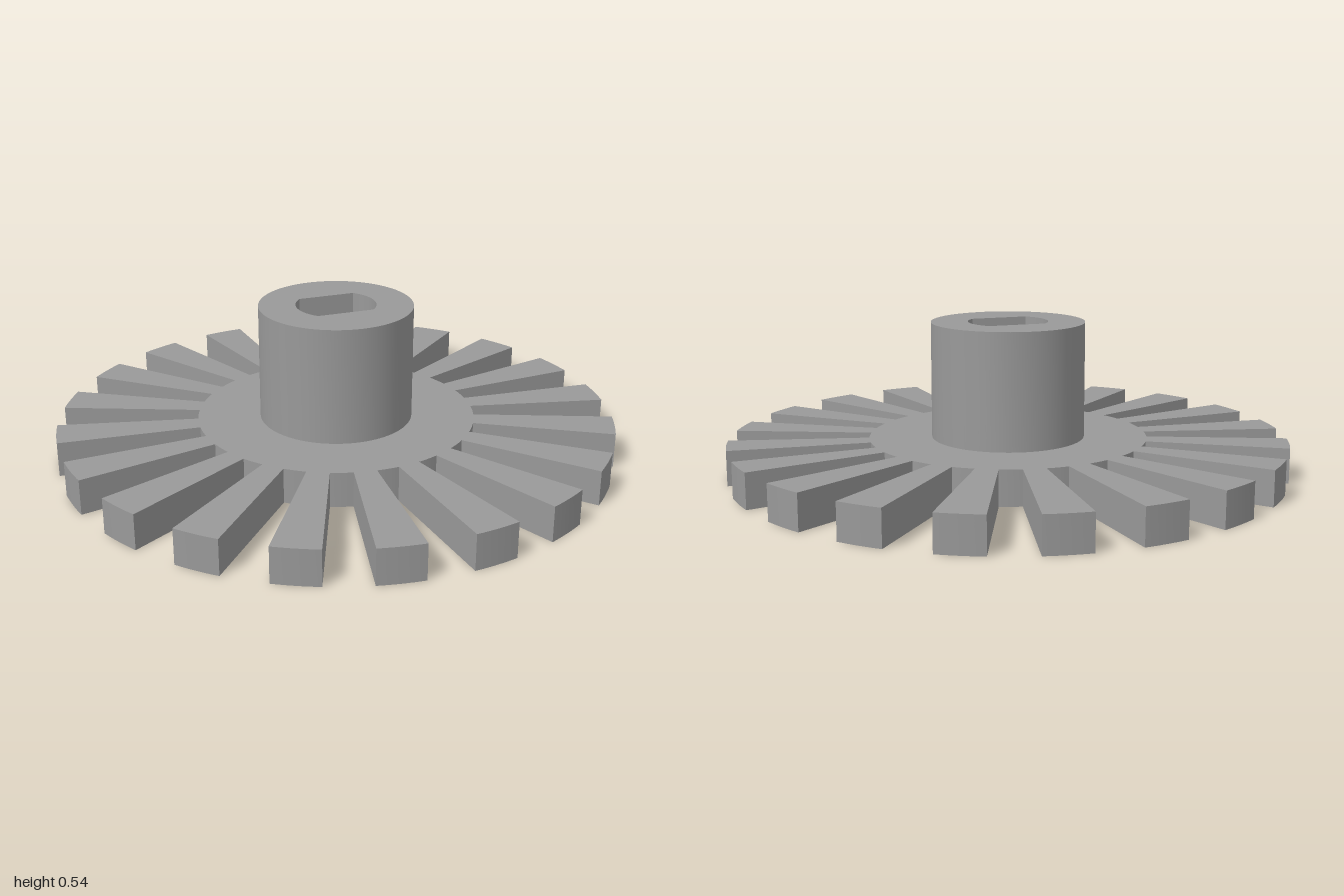
import * as THREE from 'three';
import { toCreasedNormals } from 'three/addons/utils/BufferGeometryUtils.js';

const TEETH = 20;
const PLATE_TOP = 0.125;
const HUB_TOP = 0.54;

// Extrude a plan outline upwards from y = bottom to y = top
function extrudeUp(shape, bottom, top, curveSegments) {
  const geometry = new THREE.ExtrudeGeometry(shape, {
    depth: top - bottom, bevelEnabled: false, curveSegments,
  });
  geometry.rotateX(-Math.PI / 2).translate(0, bottom, 0);
  return toCreasedNormals(geometry, Math.PI / 6);
}

// Disc with radial teeth: alternate outer tip arcs and inner slot arcs
function plateShape() {
  const shape = new THREE.Shape();
  const step = Math.PI / TEETH;
  for (let i = 0; i < TEETH; i++) {
    const a = (2 * i + 0.5) * step;
    shape.absarc(0, 0, 1, a, a + step, false);
    shape.absarc(0, 0, 0.5, a + step, a + 2 * step, false);
  }
  shape.closePath();
  return shape;
}

// Round collar with a bore that has two flat sides
function hubShape() {
  const shape = new THREE.Shape();
  shape.absarc(0, 0, 0.275, 0, Math.PI * 2, false);
  const radius = 0.143;
  const a = Math.asin(0.1 / radius);
  const bore = new THREE.Path();
  bore.absarc(0, 0, radius, -a, a, false);
  bore.absarc(0, 0, radius, Math.PI - a, Math.PI + a, false);
  bore.closePath();
  shape.holes.push(bore);
  return shape;
}

export function createModel() {
  const model = new THREE.Group();
  model.name = 'encoderWheel';
  const grey = new THREE.MeshStandardMaterial({ color: 0x999999 });
  grey.name = 'grey';

  const plate = new THREE.Mesh(extrudeUp(plateShape(), 0, PLATE_TOP, 4), grey);
  plate.name = 'toothedPlate';

  const hub = new THREE.Mesh(extrudeUp(hubShape(), PLATE_TOP, HUB_TOP, 32), grey);
  hub.name = 'hub';

  model.add(plate, hub);
  return model;
}
